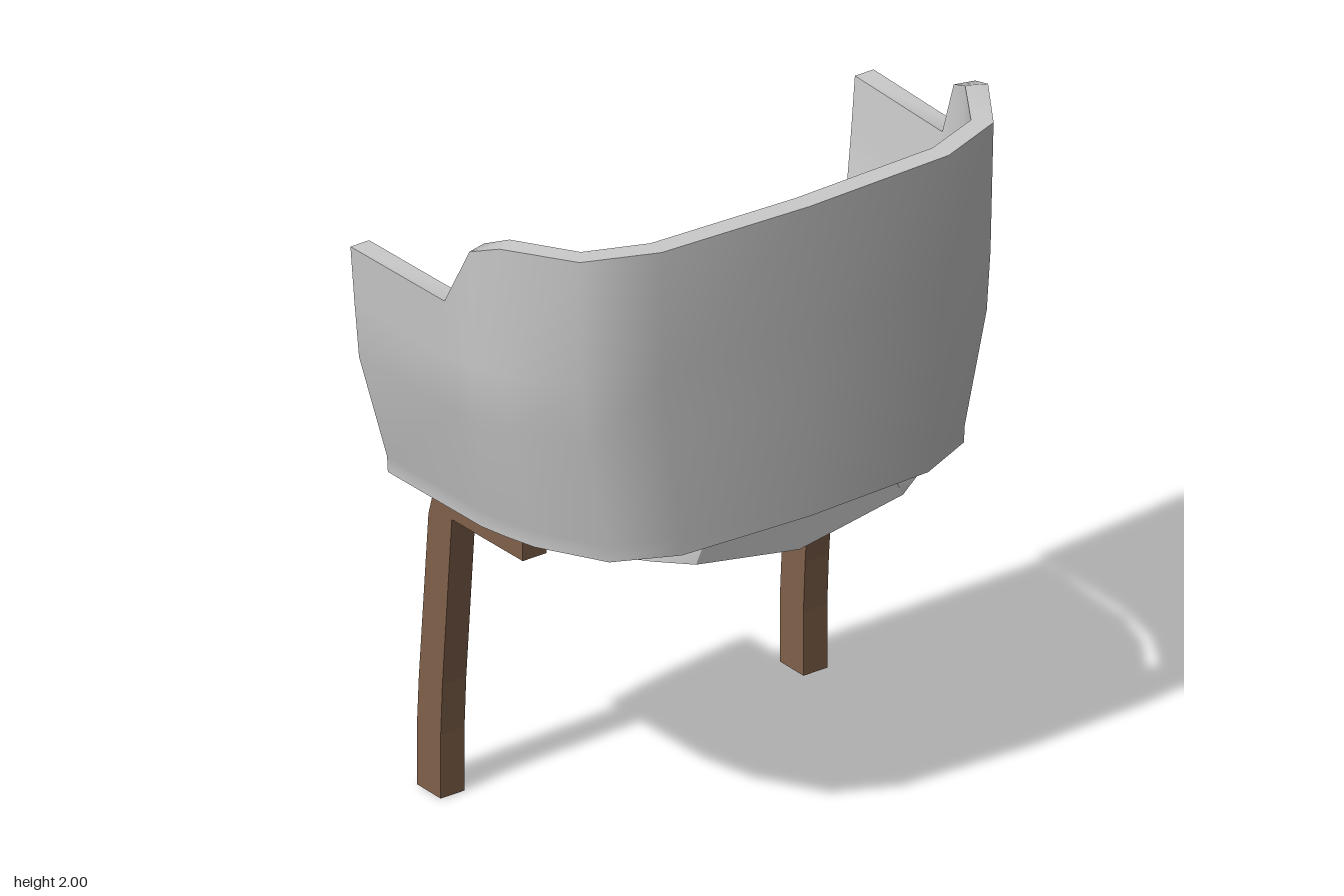
import * as THREE from 'three';
import { mergeGeometries } from 'three/addons/utils/BufferGeometryUtils.js';

const { lerp } = THREE.MathUtils;

// Smooth patch over a grid; point(u, v) gives [x, y, z], faces look along du x dv
function patch(nu, nv, point) {
  const pos = [], idx = [];
  for (let u = 0; u < nu; u++) for (let v = 0; v < nv; v++) pos.push(...point(u, v));
  for (let u = 0; u < nu - 1; u++) for (let v = 0; v < nv - 1; v++) {
    const a = u * nv + v, b = a + nv;
    idx.push(a, b, b + 1, a, b + 1, a + 1);
  }
  const g = new THREE.BufferGeometry();
  g.setAttribute('position', new THREE.Float32BufferAttribute(pos, 3));
  g.setIndex(idx);
  g.computeVertexNormals();
  return g;
}

// Wrap-around back and arms: a plan outline, flared sideways with height
function shellGeometry() {
  const half = [ // x, z, height of the top edge
    [0.91, -0.445, 1.775], [0.90, -0.02, 1.775], [0.88, 0.07, 1.96], [0.85, 0.17, 2],
    [0.72, 0.37, 2], [0.5, 0.457, 2], [0, 0.477, 2],
  ];
  const path = [...half.map(([x, z, t]) => [-x, z, t]), ...half.slice(0, -1).reverse()];
  const levels = [[1.03, 0.857], [1.08, 0.86], [1.42, 0.967], [1.6, 0.985], [1.775, 1], [2, 1]];
  const flare = y => {
    const i = Math.max(1, levels.findIndex(l => l[0] >= y));
    const [a, b] = [levels[i - 1], levels[i]];
    return lerp(a[1], b[1], (y - a[0]) / (b[0] - a[0]));
  };
  const n = path.length, rows = 5, thick = 0.065;
  const outer = (u, r) => {
    const [x, z, top] = path[u];
    const y = r === rows - 1 ? top : [1.03, 1.08, 1.42, 1.6][r];
    return [x * flare(y), y, z];
  };
  const inner = (u, r) => {
    const p = outer(u, r), a = outer(Math.max(u - 1, 0), r), b = outer(Math.min(u + 1, n - 1), r);
    const dx = b[0] - a[0], dz = b[2] - a[2], len = Math.hypot(dx, dz);
    const end = u === 0 || u === n - 1;
    return end ? [p[0] - Math.sign(p[0]) * thick, p[1], p[2]]
      : [p[0] + dz / len * thick, p[1], p[2] - dx / len * thick];
  };
  const last = rows - 1;
  return mergeGeometries([
    patch(n, rows, outer),
    patch(n, rows, (u, r) => inner(u, last - r)),
    patch(n, 2, (u, s) => (s ? inner : outer)(u, last)),
    patch(n, 2, (u, s) => (s ? outer : inner)(u, 0)),
    patch(2, rows, (s, r) => (s ? outer : inner)(0, r)),
    patch(2, rows, (s, r) => (s ? inner : outer)(n - 1, r)),
  ]);
}

// Seat: flat top rolling down to the open edge, shallow V underneath
function seatGeometry() {
  const sections = [ // z, half width, fullness
    [-0.42, 0.71, 0], [-0.39, 0.71, 0.45], [-0.31, 0.71, 0.84], [-0.2, 0.7, 1], [0, 0.69, 1],
    [0.15, 0.65, 1], [0.29, 0.57, 1], [0.37, 0.47, 1], [0.43, 0.36, 1],
  ];
  const across = [[-1, 0], [-0.92, 0.6], [-0.8, 1], [-0.4, 1], [0, 1], [0.4, 1], [0.8, 1], [0.92, 0.6], [1, 0]];
  const under = (i, j) => {
    const x = sections[i][1] * across[j][0];
    return [x, 0.907 + 0.172 * Math.abs(x), sections[i][0]];
  };
  const top = (i, j) => {
    const [x, y, z] = under(i, j);
    return [x, lerp(y, 1.07, sections[i][2] * across[j][1]), z];
  };
  const ns = sections.length, na = across.length;
  return mergeGeometries([
    patch(ns, na, top),
    patch(na, ns, (j, i) => under(i, j)),
    patch(na, 2, (j, s) => (s ? top : under)(ns - 1, j)),
  ]);
}

// Bent timber leg with a short arm under the seat
function legGeometry() {
  const side = [ // z, y
    [0.015, 0.9], [0.015, 1.03], [-0.3, 1.03], [-0.385, 1.005], [-0.425, 0.87], [-0.47, 0.34],
    [-0.478, 0.2], [-0.478, 0], [-0.368, 0], [-0.368, 0.2], [-0.36, 0.36], [-0.316, 0.895],
  ];
  const shape = new THREE.Shape(side.map(([z, y]) => new THREE.Vector2(z, y)));
  const g = new THREE.ExtrudeGeometry(shape, { depth: 0.083, bevelEnabled: false });
  return g.translate(0, 0, -0.0415).rotateY(-Math.PI / 2);
}

export function createModel() {
  const model = new THREE.Group();
  const grey = new THREE.MeshStandardMaterial({ color: 0xcccccc, side: THREE.DoubleSide });
  const wood = new THREE.MeshStandardMaterial({ color: 0x80604a });
  const add = (name, geometry, material, x = 0) => {
    const mesh = new THREE.Mesh(geometry, material);
    mesh.name = name;
    mesh.position.x = x;
    model.add(mesh);
  };
  add('backAndArms', shellGeometry(), grey);
  add('seat', seatGeometry(), grey);
  const leg = legGeometry();
  add('leftLeg', leg, wood, 0.65);
  add('rightLeg', leg, wood, -0.612);
  return model;
}
